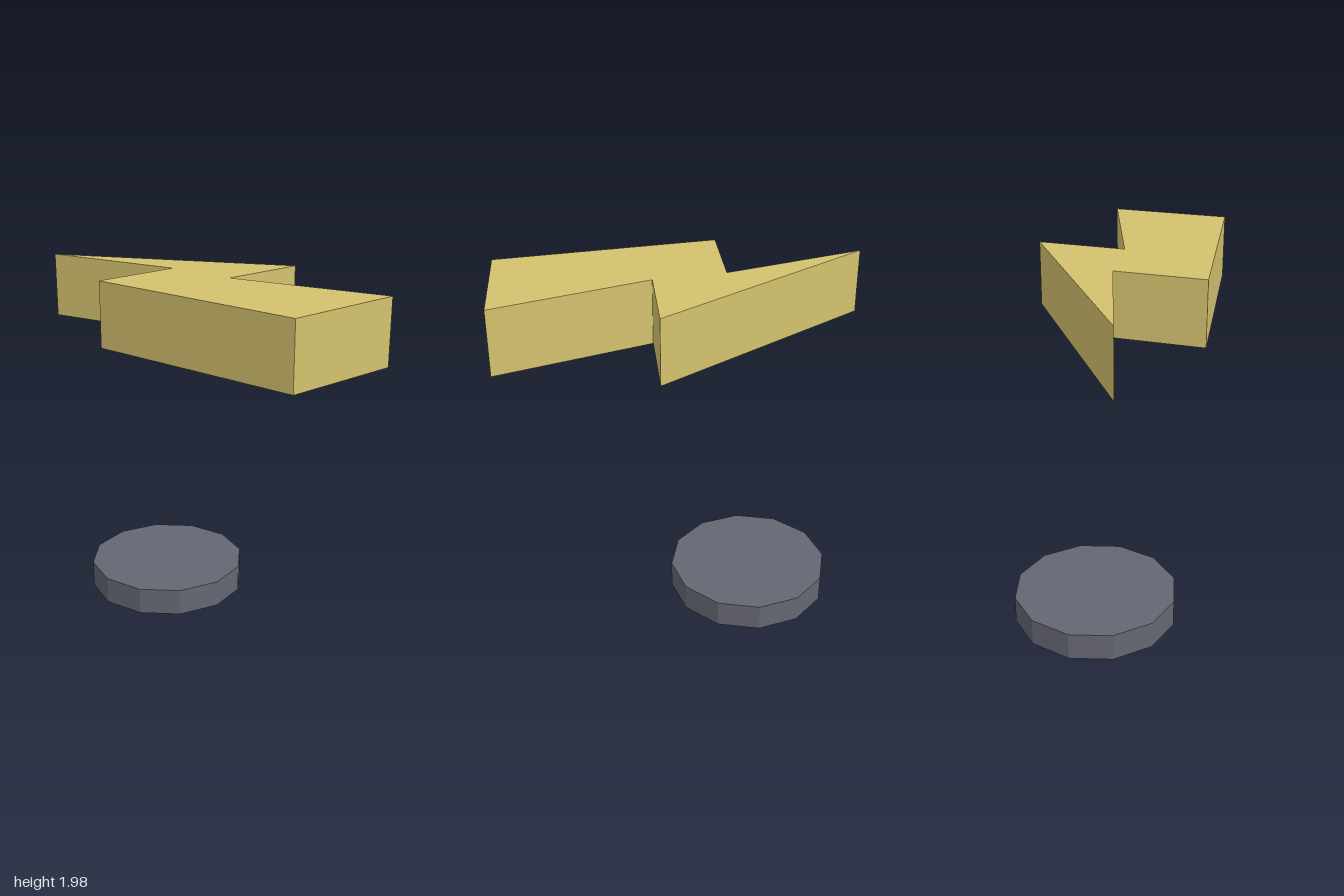
import * as THREE from 'three';

export function createModel() {
  const model = new THREE.Group();
  const gold = new THREE.MeshStandardMaterial({ color: 0xd4c26e });
  gold.name = 'gold';
  const slate = new THREE.MeshStandardMaterial({ color: 0x646672 });
  slate.name = 'slate grey';

  // Twelve-sided base disc, with corners on the axes
  const discGeometry = new THREE.CylinderGeometry(0.46, 0.46, 0.155, 12).toNonIndexed();
  discGeometry.computeVertexNormals();
  const disc = new THREE.Mesh(discGeometry, slate);
  disc.name = 'baseDisc';
  disc.position.set(0.03, 0.0775, -0.385);
  model.add(disc);

  // Floating lightning bolt: outline as (x, z), extruded upwards
  const outline = [
    [-0.28, -1], [-0.03, -0.23], [-0.525, -0.23], [-0.34, 1],
    [0.335, 1], [0.03, 0.165], [0.52, 0.165],
  ];
  const shape = new THREE.Shape(outline.map(([x, z]) => new THREE.Vector2(x, -z)));
  const boltGeometry = new THREE.ExtrudeGeometry(shape, { depth: 0.36, bevelEnabled: false });
  boltGeometry.rotateX(-Math.PI / 2);
  const bolt = new THREE.Mesh(boltGeometry, gold);
  bolt.name = 'lightningBolt';
  bolt.position.y = 1.618;
  model.add(bolt);

  return model;
}
